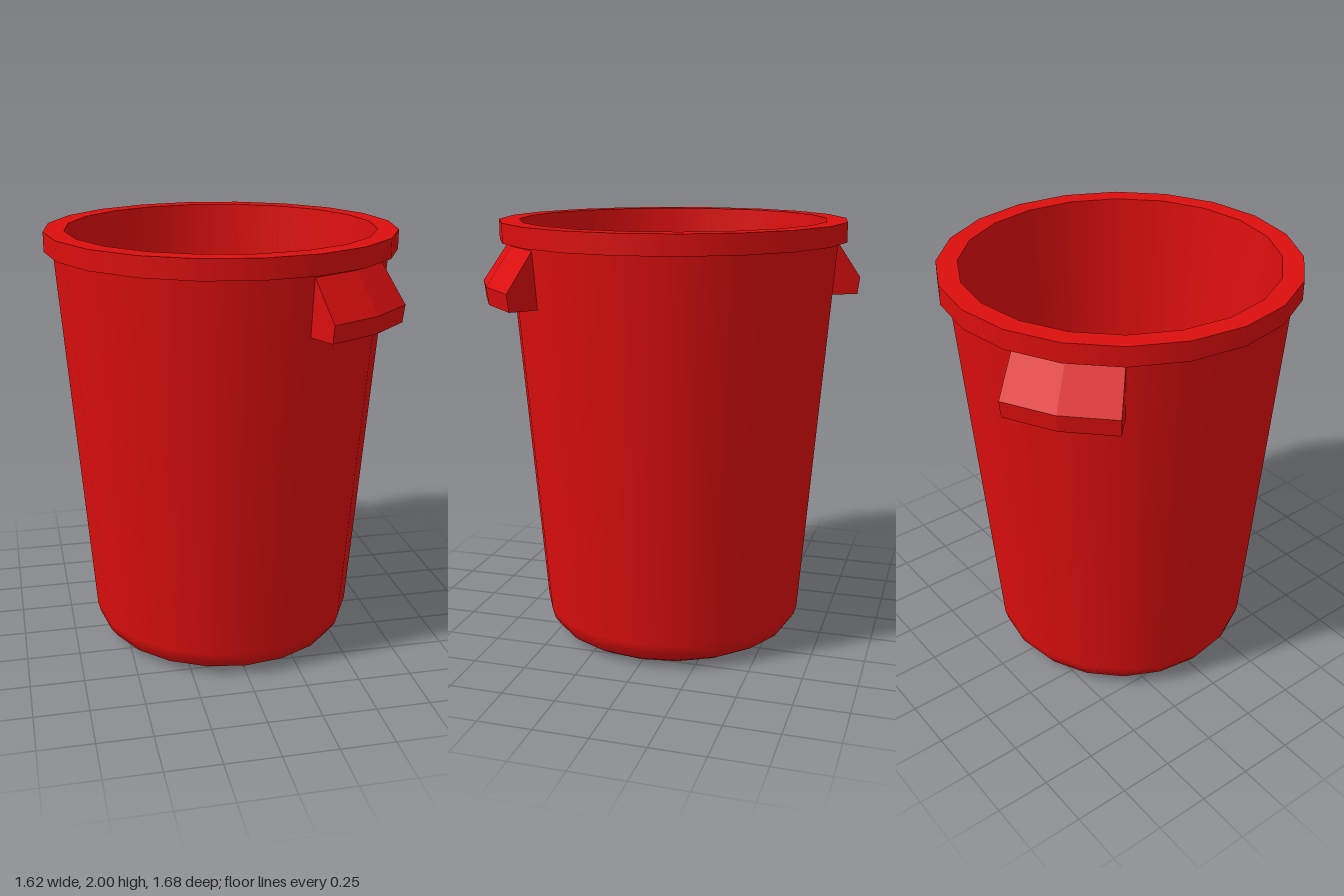
import * as THREE from 'three';

const SIDES = 20;
const red = { color: 0xdc0e0e };
const smooth = new THREE.MeshStandardMaterial(red);
const faceted = new THREE.MeshStandardMaterial({ ...red, flatShading: true });

// Revolve a profile of [radius, height] pairs; outer walls run upward, inner ones downward
function revolve(name, profile) {
  const points = profile.map(([r, y]) => new THREE.Vector2(r, y));
  const mesh = new THREE.Mesh(new THREE.LatheGeometry(points, SIDES), smooth);
  mesh.name = name;
  return mesh;
}

// Grip wedge that follows two sides of the wall, lofted through three cross-sections
function handleGeometry() {
  const profile = [[0.76, 1.91], [0.89, 1.72], [0.88, 1.64], [0.738, 1.64]];
  const outerTaper = [0, 1.3, 1.3, 0];
  const n = profile.length;
  const positions = [];
  for (const step of [-1, 0, 1]) {
    profile.forEach(([r, y], i) => {
      const a = THREE.MathUtils.degToRad(54 + step * (18 - outerTaper[i]));
      positions.push(r * Math.cos(a), y, r * Math.sin(a));
    });
  }
  const index = [];
  for (let s = 0; s < 2; s++) {
    for (let i = 0; i < n; i++) {
      const a = s * n + i, b = s * n + (i + 1) % n;
      index.push(a, a + n, b, b, a + n, b + n);
    }
  }
  // End caps
  const e = 2 * n;
  index.push(0, 1, 2, 0, 2, 3, e, e + 2, e + 1, e, e + 3, e + 2);
  const geometry = new THREE.BufferGeometry();
  geometry.setAttribute('position', new THREE.Float32BufferAttribute(positions, 3));
  geometry.setIndex(index);
  const flat = geometry.toNonIndexed();
  flat.computeVertexNormals();
  return flat;
}

export function createModel() {
  const model = new THREE.Group();
  model.name = 'bin';

  // Tapered shell with a rounded foot
  model.add(revolve('outerWall', [
    [0, 0], [0.48, 0], [0.54, 0.012], [0.587, 0.04], [0.617, 0.083], [0.63, 0.13], [0.77, 1.91],
  ]));

  // Square-edged rim, each band kept sharp
  const rim = new THREE.Group();
  rim.name = 'rim';
  rim.add(
    revolve('rimUnderside', [[0.765, 1.91], [0.81, 1.91]]),
    revolve('rimSide', [[0.81, 1.91], [0.81, 2]]),
    revolve('rimTop', [[0.81, 2], [0.715, 2]]),
  );
  model.add(rim);

  // Hollow inside, blending softly into the floor
  model.add(revolve('innerWall', [
    [0.715, 2], [0.585, 0.14], [0.565, 0.09], [0.5, 0.055], [0, 0.05],
  ]));

  // Two opposite handles
  const geometry = handleGeometry();
  ['frontHandle', 'backHandle'].forEach((name, i) => {
    const handle = new THREE.Mesh(geometry, faceted);
    handle.name = name;
    handle.rotation.y = i * Math.PI;
    model.add(handle);
  });

  return model;
}
